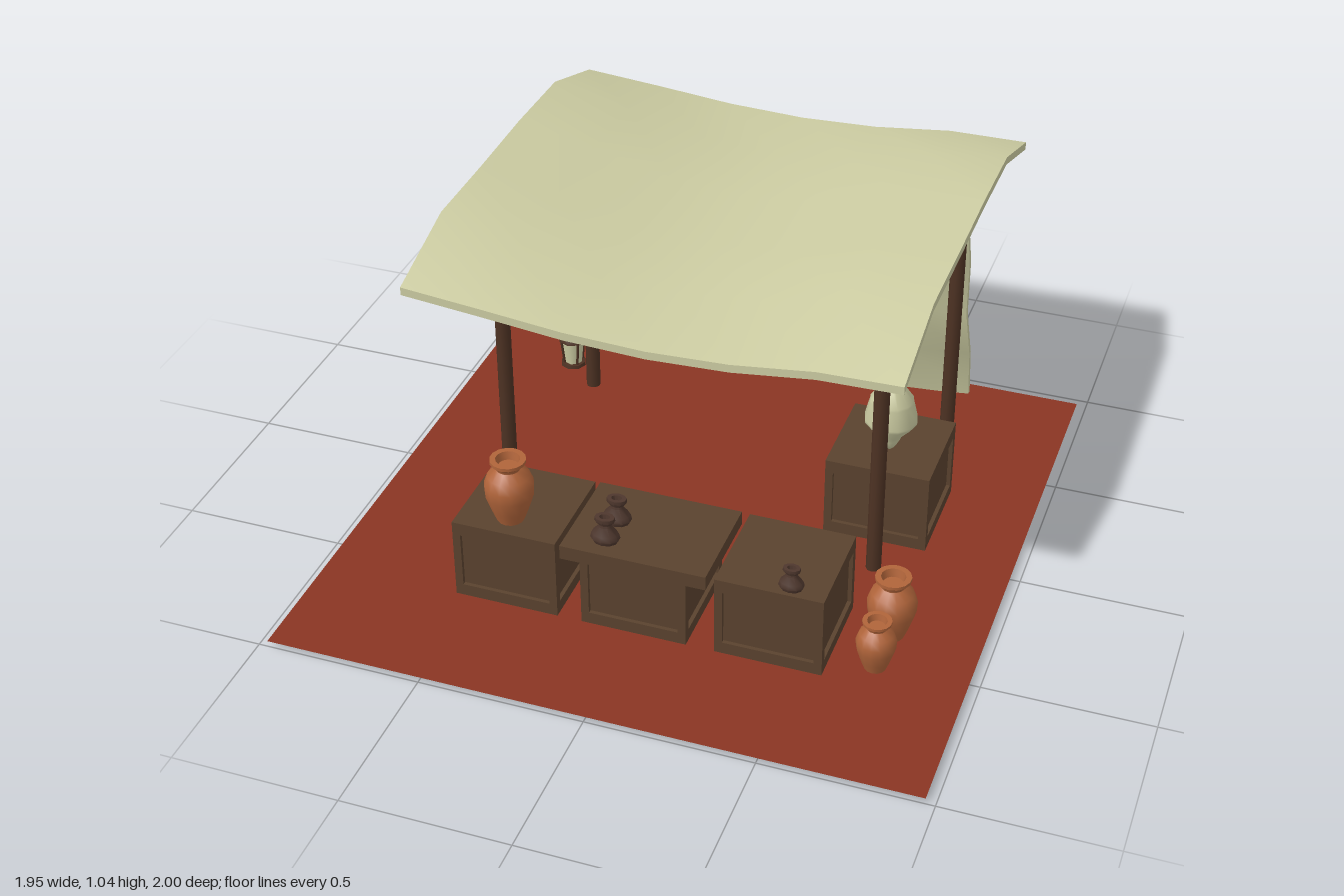
import * as THREE from 'three';
import { toCreasedNormals } from 'three/addons/utils/BufferGeometryUtils.js';

const mat = (name, color, side = THREE.FrontSide) => {
  const m = new THREE.MeshStandardMaterial({ color, side });
  m.name = name;
  return m;
};

export function createModel() {
  const cloth = mat('cloth', 0xcccca2);
  const rug = mat('red rug', 0x8a3523, THREE.DoubleSide);
  const crateWood = mat('crate wood', 0x5a422e);
  const postWood = mat('post wood', 0x4d3223);
  const clay = mat('clay', 0xb0643a);
  const darkClay = mat('dark clay', 0x4e372d);

  const model = new THREE.Group();
  model.name = 'marketStall';

  const add = (parent, name, geo, material, x = 0, y = 0, z = 0) => {
    const mesh = new THREE.Mesh(geo, material);
    mesh.name = name;
    mesh.position.set(x, y, z);
    parent.add(mesh);
    return mesh;
  };
  const group = (name, x, y, z) => {
    const g = new THREE.Group();
    g.name = name;
    g.position.set(x, y, z);
    model.add(g);
    return g;
  };
  const box = (w, h, d) => new THREE.BoxGeometry(w, h, d);
  const lathe = (pts, sides) => toCreasedNormals(
    new THREE.LatheGeometry(pts.map(([r, y]) => new THREE.Vector2(r, y)), sides), 0.8);

  // Cloth sheet: a grid of points, thickened by an offset and closed by a rim
  const sheet = (point, nu, nv, offset) => {
    const pos = [];
    const top = (i, j) => point(i, j);
    const under = (i, j) => point(i, j).add(offset);
    const quad = (a, b, c, d) => [a, b, c, a, c, d].forEach((p) => pos.push(p.x, p.y, p.z));
    for (let i = 0; i < nu; i++) {
      for (let j = 0; j < nv; j++) {
        const cells = [[i, j], [i, j + 1], [i + 1, j + 1], [i + 1, j]];
        quad(...cells.map((c) => top(...c)));
        quad(...cells.reverse().map((c) => under(...c)));
      }
    }
    const rim = [];
    for (let i = 0; i < nu; i++) rim.push([i, nv]);
    for (let j = nv; j > 0; j--) rim.push([nu, j]);
    for (let i = nu; i > 0; i--) rim.push([i, 0]);
    for (let j = 0; j < nv; j++) rim.push([0, j]);
    rim.forEach((p, k) => {
      const q = rim[(k + 1) % rim.length];
      quad(under(...p), under(...q), top(...q), top(...p));
    });
    const geo = new THREE.BufferGeometry();
    geo.setAttribute('position', new THREE.Float32BufferAttribute(pos, 3));
    return toCreasedNormals(geo, Math.PI / 3);
  };

  // Ground rug
  add(model, 'rug', new THREE.PlaneGeometry(1.945, 1.95).rotateX(-Math.PI / 2), rug, 0, 0.02, 0.025);

  // Sagging canopy: heights across x at the middle and at the drooping ends
  const midY = [1.04, 0.99, 0.925, 0.905, 0.93, 0.995, 1.03];
  const endY = [0.943, 0.92, 0.895, 0.885, 0.895, 0.925, 0.93];
  const lift = [0, 0.95, 1, 0.92, 0.9, 0];
  const canopyPoint = (i, j) => new THREE.Vector3(
    -0.737 + i * 0.2435,
    THREE.MathUtils.lerp(endY[i], midY[i], lift[j]),
    THREE.MathUtils.lerp(-0.985 - 0.012 * Math.sin(i * Math.PI / 6), 0.46, j / 5));
  add(model, 'canopy', sheet(canopyPoint, 6, 5, new THREE.Vector3(0, -0.025, 0)), cloth);

  // Rear curtain: [y, z] profile at the sides and at the centre
  const sideRows = [[0.975, -0.66], [0.8, -0.68], [0.6, -0.755], [0.41, -0.76], [0.2, -0.855], [0.025, -0.885]];
  const midRows = [[0.88, -0.645], [0.76, -0.59], [0.6, -0.69], [0.41, -0.70], [0.2, -0.80], [0.005, -0.85]];
  const curtainPoint = (i, j) => {
    const u = i / 3 - 1;
    const w = 1 - u * u;
    return new THREE.Vector3(u * 0.622,
      THREE.MathUtils.lerp(sideRows[j][0], midRows[j][0], w),
      THREE.MathUtils.lerp(sideRows[j][1], midRows[j][1], w));
  };
  add(model, 'curtain', sheet(curtainPoint, 6, 5, new THREE.Vector3(0, -0.004, -0.02)), cloth);

  // Posts
  [[-0.595, 0.1], [0.575, 0.1], [-0.572, -0.54], [0.602, -0.675]].forEach(([x, z]) =>
    add(model, 'post', new THREE.CylinderGeometry(0.023, 0.023, 0.965, 10), postWood, x, 0.5025, z));

  // Panelled crates
  const crate = (name, x, z) => {
    const g = group(name, x, 0.02, z);
    const s = 0.32;
    add(g, 'panels', box(s - 0.024, 0.24, s - 0.024), crateWood, 0, 0.13, 0);
    add(g, 'topFrame', box(s, 0.042, s), crateWood, 0, 0.239, 0);
    add(g, 'bottomFrame', box(s, 0.038, s), crateWood, 0, 0.019, 0);
    for (const sx of [-1, 1]) for (const sz of [-1, 1]) {
      add(g, 'cornerFrame', box(0.024, 0.18, 0.024), crateWood, sx * 0.148, 0.128, sz * 0.148);
    }
    return g;
  };
  crate('rightCrate', -0.39, 0.46);
  const middle = crate('middleCrate', 0.005, 0.46);
  add(middle, 'counterTop', box(0.44, 0.045, 0.324), crateWood, 0, 0.2385, 0);
  crate('leftCrate', 0.41, 0.46);
  crate('rearCrate', 0.54, -0.187);

  // Clay pots
  const potGeo = lathe([[0, 0], [0.04, 0], [0.055, 0.04], [0.071, 0.09], [0.073, 0.125], [0.062, 0.155],
    [0.036, 0.178], [0.038, 0.188], [0.053, 0.2], [0.053, 0.21], [0.036, 0.21], [0.03, 0.185], [0, 0.185]], 14);
  [[-0.397, 0.28, 0.543, 1], [0.705, 0.02, 0.38, 1], [0.702, 0.02, 0.533, 0.8]].forEach(([x, y, z, s]) =>
    add(model, 'clayPot', potGeo, clay, x, y, z).scale.setScalar(s));

  // Small dark jars
  const jarGeo = lathe([[0, 0], [0.027, 0], [0.033, 0.014], [0.03, 0.03], [0.015, 0.053], [0.014, 0.06],
    [0.023, 0.074], [0.022, 0.085], [0.012, 0.085], [0.01, 0.07], [0, 0.07]], 10);
  [[-0.1, 0.555, 1], [-0.1, 0.46, 1], [0.465, 0.585, 0.85]].forEach(([x, z, s]) =>
    add(model, 'smallJar', jarGeo, darkClay, x, 0.28, z).scale.set(1.35 * s, s, s));

  // Pale pointed urn on the rear crate
  add(model, 'paleUrn', lathe([[0, 0], [0.018, 0.018], [0.032, 0.045], [0.034, 0.055], [0.08, 0.108], [0.081, 0.118],
    [0.067, 0.178], [0.066, 0.186], [0.022, 0.25], [0.012, 0.262], [0, 0.268]], 12), cloth, 0.545, 0.28, -0.145);

  // Hanging lantern
  const lantern = group('lantern', -0.368, 0.55, 0.105);
  add(lantern, 'hanger', new THREE.CylinderGeometry(0.005, 0.005, 0.25, 6), postWood, 0, 0.265, 0);
  add(lantern, 'cap', lathe([[0, 0.085], [0.043, 0.085], [0.04, 0.098], [0.016, 0.135], [0.014, 0.152], [0, 0.156]], 8), postWood);
  add(lantern, 'base', new THREE.CylinderGeometry(0.036, 0.038, 0.01, 8), postWood, 0, 0.005, 0);
  add(lantern, 'shade', new THREE.CylinderGeometry(0.034, 0.026, 0.08, 8), cloth, 0, 0.048, 0);
  for (let k = 0; k < 4; k++) {
    const a = Math.PI / 4 + k * Math.PI / 2;
    const curve = new THREE.LineCurve3(
      new THREE.Vector3(Math.cos(a) * 0.028, 0.008, Math.sin(a) * 0.028),
      new THREE.Vector3(Math.cos(a) * 0.037, 0.088, Math.sin(a) * 0.037));
    add(lantern, 'strut', new THREE.TubeGeometry(curve, 1, 0.004, 5), postWood);
  }
  return model;
}
